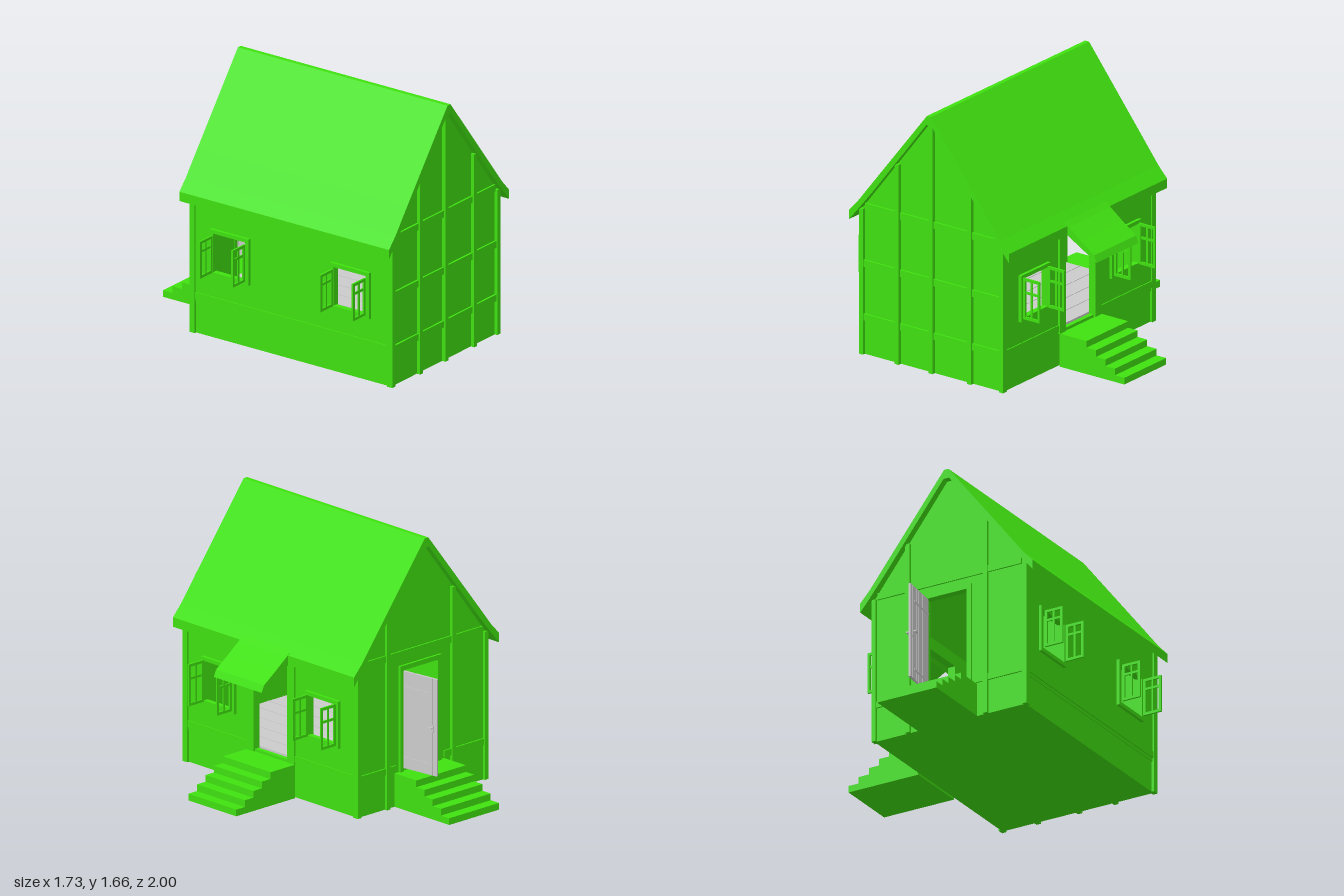
import * as THREE from 'three';

const green = new THREE.MeshStandardMaterial({ color: 0x3fe010 });
const grey = new THREE.MeshStandardMaterial({ color: 0xcccccc });
const CX = -0.175; // ridge line of the house

export function createModel() {
  const house = new THREE.Group();
  house.name = 'house';

  const add = (name, geo, parent = house, mat = green) => {
    const m = new THREE.Mesh(geo, mat);
    m.name = name;
    parent.add(m);
    return m;
  };
  // box given by its limits on each axis
  const box = (name, x0, x1, y0, y1, z0, z1, parent, mat) =>
    add(name, new THREE.BoxGeometry(x1 - x0, y1 - y0, z1 - z0)
      .translate((x0 + x1) / 2, (y0 + y1) / 2, (z0 + z1) / 2), parent, mat);
  const poly = (pts) => new THREE.Shape(pts.map(([x, y]) => new THREE.Vector2(x, y)));
  const rect = (a, b, c, d) => new THREE.Path(poly([[a, c], [a, d], [b, d], [b, c]]).getPoints());
  const extrude = (shape, depth) => new THREE.ExtrudeGeometry(shape, { depth, bevelEnabled: false });
  // profile in (z, y), running from x0 to x1
  const alongX = (shape, x0, x1) => extrude(shape, x1 - x0).rotateY(-Math.PI / 2).translate(x1, 0, 0);

  // floor and base
  box('base', CX - 0.53, CX + 0.53, 0, 0.21, -0.525, 0.96);
  box('floor', CX - 0.5, CX + 0.5, 0.21, 0.235, -0.5, 0.93, house, grey);
  for (let i = 1; i < 8; i++) {
    const x = CX - 0.5 + i * 0.125;
    box('floorGroove', x - 0.003, x + 0.003, 0.234, 0.238, -0.5, 0.93, house, grey);
  }

  // gable walls, the back one with a doorway
  const gable = () => poly([[CX - 0.535, 0.2], [CX + 0.535, 0.2], [CX + 0.535, 0.935],
    [CX + 0.02, 1.61], [CX - 0.02, 1.61], [CX - 0.535, 0.935]]);
  add('frontWall', extrude(gable(), 0.03).translate(0, 0, 0.93));
  const back = gable();
  back.holes.push(rect(-0.3, -0.015, 0.225, 0.855));
  add('backWall', extrude(back, 0.03).translate(0, 0, -0.525));

  // side walls with window openings, the right one with a doorway
  const windowZ = [0.667, -0.235];
  for (const s of [-1, 1]) {
    const wall = poly([[-0.525, 0.2], [0.96, 0.2], [0.96, 0.935], [-0.525, 0.935]]);
    for (const z of windowZ) wall.holes.push(rect(z - 0.122, z + 0.122, 0.425, 0.69));
    if (s > 0) wall.holes.push(rect(0.07, 0.36, 0.225, 0.855));
    const x = CX + s * 0.52;
    add('sideWall', alongX(wall, x - 0.015, x + 0.015));
  }

  // corner posts
  for (const s of [-1, 1]) {
    for (const [z0, z1] of [[0.94, 0.98], [-0.54, -0.5]]) {
      const x = CX + s * 0.53;
      box('cornerPost', x - 0.015, x + 0.015, 0, 0.94, z0, z1);
    }
  }

  // timber framing on the gables
  for (const [x, top] of [[-0.43, 1.29], [CX, 1.605], [0.115, 1.25]]) {
    box('frontPost', x - 0.015, x + 0.015, 0, top, 0.95, 0.985);
    if (x !== CX) box('backPost', x - 0.015, x + 0.015, 0, top, -0.545, -0.515);
  }
  for (const [y0, y1, w] of [[0.22, 0.262, 0.53], [0.565, 0.61, 0.53], [0.935, 0.978, 0.505]])
    box('frontBeam', CX - w, CX + w, y0, y1, 0.95, 0.973);
  box('backTieBeam', CX - 0.505, CX + 0.505, 0.935, 0.978, -0.535, -0.515);
  box('backSillBeam', CX - 0.53, -0.36, 0.22, 0.262, -0.535, -0.515);
  box('backSillBeam', 0.045, CX + 0.53, 0.22, 0.262, -0.535, -0.515);

  // sill beams along the sides
  box('sideSillBeam', CX - 0.542, CX - 0.52, 0.222, 0.265, -0.51, 0.95);
  box('sideSillBeam', CX + 0.52, CX + 0.542, 0.222, 0.265, 0.42, 0.95);
  box('sideSillBeam', CX + 0.52, CX + 0.542, 0.222, 0.265, -0.51, 0.01);

  // door frames
  for (const z of [0.01, 0.36]) box('sideDoorPost', 0.325, 0.375, 0.21, 0.9, z, z + 0.06);
  box('sideDoorLintel', 0.325, 0.375, 0.85, 0.91, 0.01, 0.42);
  for (const x of [-0.33, -0.015]) box('backDoorPost', x, x + 0.03, 0.21, 0.885, -0.54, -0.49);
  box('backDoorLintel', -0.33, 0.015, 0.855, 0.885, -0.54, -0.49);

  // windows: a trim frame and two casements swung wide open
  const frame = (w, h, t) => {
    const f = poly([[0, 0], [w, 0], [w, h], [0, h]]);
    f.holes.push(rect(t, w - t, t, h - t));
    return f;
  };
  for (const s of [-1, 1]) {
    for (const z of windowZ) {
      const win = new THREE.Group();
      win.name = 'window';
      house.add(win);
      const trim = alongX(frame(0.29, 0.3, 0.024), -0.018, 0.018);
      add('windowTrim', trim.translate(CX + s * 0.537, 0.408, z - 0.145), win);
      for (const side of [-1, 1]) {
        const c = new THREE.Group();
        c.name = 'casement';
        c.position.set(s > 0 ? 0.38 : -0.865, s > 0 ? 0.425 : 0.435, z + side * 0.122);
        win.add(c);
        const h = s > 0 ? 0.265 : 0.24;
        add('casementFrame', extrude(frame(0.125, h, 0.017), 0.012).translate(0, 0, -0.006), c);
        box('mullion', 0.056, 0.069, 0.01, h - 0.01, -0.004, 0.004, c);
        box('glazingBar', 0.01, 0.115, 0.165, 0.18, -0.004, 0.004, c);
      }
    }
  }

  // roof with gently flared eaves
  const outer = [[0.015, 1.665], [0.42, 1.145], [0.54, 0.99], [0.605, 0.92]];
  const inner = [[0.605, 0.86], [0.545, 0.93], [0.42, 1.085], [0.02, 1.605]];
  const half = [...outer, ...inner];
  const mirrored = half.map(([d, y]) => [CX - d, y]).reverse();
  add('roof', extrude(poly([...half.map(([d, y]) => [CX + d, y]), ...mirrored]), 1.57)
    .translate(0, 0, -0.57));

  // canopy over the side door
  add('canopy', extrude(poly([[0.36, 0.985], [0.39, 0.96], [0.44, 0.915], [0.53, 0.848], [0.63, 0.778],
    [0.65, 0.735], [0.53, 0.802], [0.43, 0.86], [0.36, 0.935]]), 0.415).translate(0, 0, 0.003));

  // stairs, profile running outwards from the wall
  const stairs = () => {
    const pts = [[0, 0], [0.49, 0]];
    for (let i = 0; i < 5; i++) {
      const x = 0.49 - i * 0.0715;
      pts.push([x, (i + 1) * 0.0425], [i < 4 ? x - 0.0715 : 0, (i + 1) * 0.0425]);
    }
    return extrude(poly(pts), 0.415);
  };
  add('sideStairs', stairs().translate(0.37, 0, 0.005));
  add('backStairs', stairs().rotateY(Math.PI / 2).translate(-0.365, 0, -0.51));

  // open plank door, hinged at the back doorway
  const door = new THREE.Group();
  door.name = 'backDoor';
  door.position.set(-0.02, 0.235, -0.535);
  door.rotation.y = Math.PI / 2 + 0.12;
  house.add(door);
  const edges = [0, 0.085, 0.14, 0.17, 0.23, 0.26];
  box('doorCore', 0, 0.26, 0, 0.615, -0.005, 0.005, door, grey);
  for (let i = 0; i < 5; i++)
    box('doorPlank', edges[i] + 0.002, edges[i + 1] - 0.002, 0, 0.615, -0.008, 0.008, door, grey);
  for (const y of [0.06, 0.51]) box('doorStrap', 0, 0.21, y, y + 0.012, -0.011, 0.011, door, grey);
  box('handlePlate', 0.225, 0.24, 0.275, 0.32, -0.012, 0.012, door, grey);
  add('handleSpindle', new THREE.CylinderGeometry(0.004, 0.004, 0.06, 10)
    .rotateX(Math.PI / 2).translate(0.232, 0.305, 0), door, grey);
  for (const z of [-0.028, 0.028])
    box('doorHandle', 0.205, 0.238, 0.3, 0.31, z - 0.004, z + 0.004, door, grey);

  return house;
}
